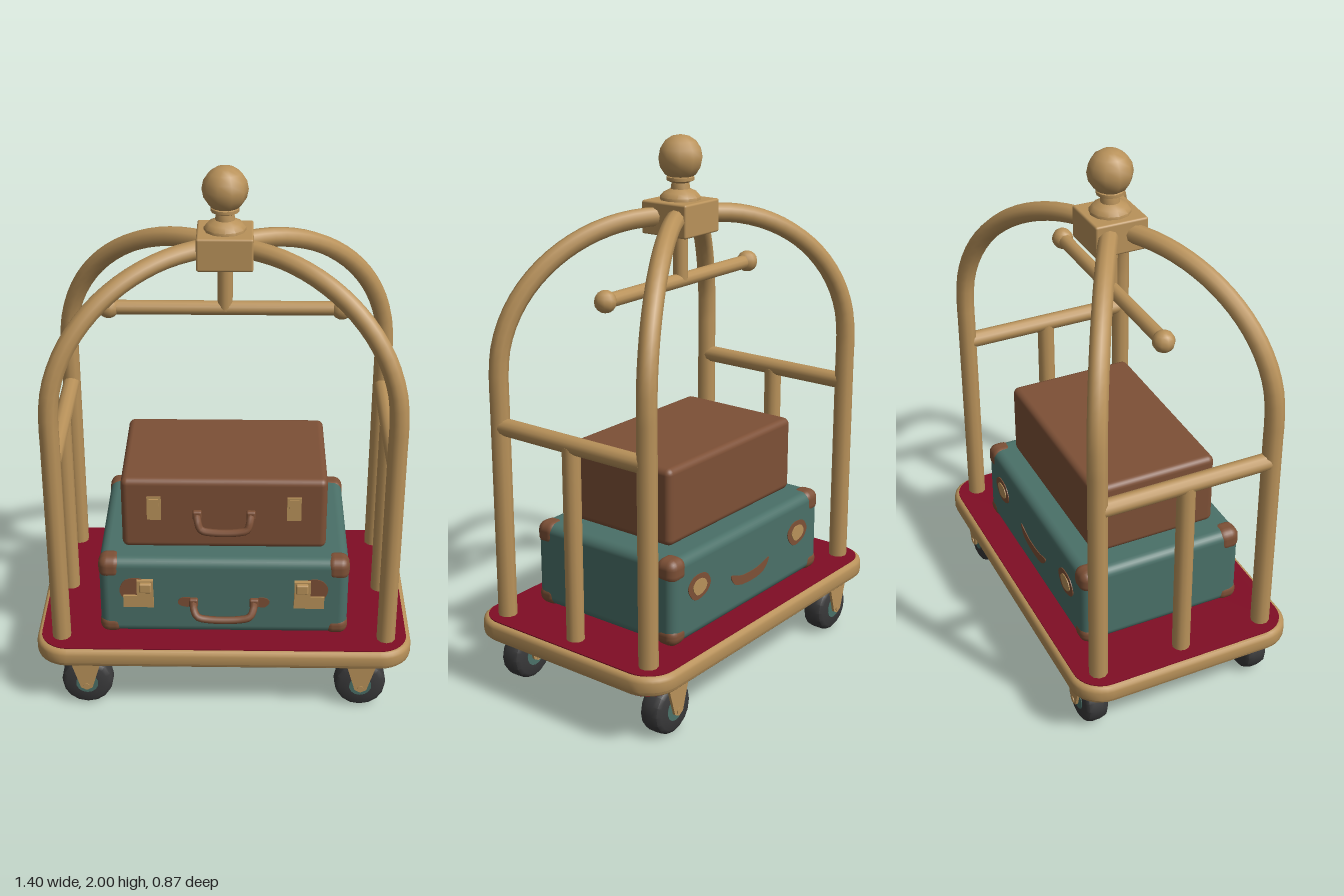
import * as THREE from 'three';
import { RoundedBoxGeometry } from 'three/addons/geometries/RoundedBoxGeometry.js';
import { toCreasedNormals } from 'three/addons/utils/BufferGeometryUtils.js';

const material = (name, color) => Object.assign(new THREE.MeshStandardMaterial({ color }), { name });
const brass = material('brass', 0xb9925a);
const carpet = material('crimson carpet', 0x800d25);
const teal = material('teal leather', 0x4a7068);
const brown = material('brown leather', 0x7d5036);
const rubber = material('dark rubber', 0x3a3a3b);

const signs = [-1, 1];
const V = (x, y, z) => new THREE.Vector3(x, y, z);

export function createModel() {
  const root = new THREE.Group();
  root.name = 'luggageCart';

  function group(name) {
    const g = new THREE.Group();
    g.name = name;
    root.add(g);
    return g;
  }
  function add(parent, name, geometry, mat, x = 0, y = 0, z = 0) {
    const m = new THREE.Mesh(geometry, mat);
    m.name = name;
    m.position.set(x, y, z);
    parent.add(m);
    return m;
  }
  const box = (w, h, d) => new THREE.BoxGeometry(w, h, d);
  // Straight round bar between two points
  function bar(parent, name, a, b, r, mat = brass) {
    const m = add(parent, name, new THREE.CylinderGeometry(r, r, a.distanceTo(b), 12), mat);
    m.position.addVectors(a, b).multiplyScalar(0.5);
    m.quaternion.setFromUnitVectors(V(0, 1, 0), b.clone().sub(a).normalize());
    return m;
  }
  function roundedRect(hw, hd, r) {
    const s = new THREE.Shape();
    s.absarc(hw - r, hd - r, r, 0, Math.PI / 2);
    s.absarc(-hw + r, hd - r, r, Math.PI / 2, Math.PI);
    s.absarc(-hw + r, -hd + r, r, Math.PI, Math.PI * 1.5);
    s.absarc(hw - r, -hd + r, r, Math.PI * 1.5, Math.PI * 2);
    return s;
  }
  // Horizontal slab whose underside, bevel included, sits at y
  function slab(parent, name, hw, hd, r, y, height, bevel, mat) {
    const g = new THREE.ExtrudeGeometry(roundedRect(hw - bevel, hd - bevel, r - bevel), {
      depth: height - 2 * bevel, curveSegments: 4, bevelEnabled: bevel > 0,
      bevelSize: bevel, bevelThickness: bevel, bevelSegments: 3,
    });
    g.rotateX(-Math.PI / 2);
    return add(parent, name, toCreasedNormals(g, 0.7), mat, 0, y + bevel, 0);
  }

  // Platform with carpet on top and a lining below
  const base = group('platform');
  slab(base, 'platformRim', 0.7, 0.435, 0.12, 0.212, 0.073, 0.02, brass);
  slab(base, 'carpetTop', 0.682, 0.417, 0.105, 0.283, 0.005, 0, carpet);
  slab(base, 'carpetUnderside', 0.682, 0.417, 0.105, 0.209, 0.005, 0, carpet);

  // Four casters
  const tyreProfile = [[0.03, -0.044], [0.078, -0.044], [0.092, -0.034], [0.097, -0.015],
    [0.097, 0.015], [0.092, 0.034], [0.078, 0.044], [0.03, 0.044]].map(p => new THREE.Vector2(...p));
  const tyre = toCreasedNormals(new THREE.LatheGeometry(tyreProfile, 16).rotateX(Math.PI / 2), 0.7);
  const forkShape = new THREE.Shape([[-0.058, 0.212], [-0.022, 0.09], [0, 0.078], [0.022, 0.09], [0.058, 0.212]]
    .map(p => new THREE.Vector2(...p)));
  const forkPlate = new THREE.ExtrudeGeometry(forkShape, { depth: 0.01, bevelEnabled: false }).translate(0, 0, -0.005);
  for (const sx of signs) for (const sz of signs) {
    const caster = group('caster');
    caster.position.set(sx * 0.515, 0, sz * 0.333);
    add(caster, 'tyre', tyre, rubber, 0, 0.097, 0);
    add(caster, 'hub', new THREE.CylinderGeometry(0.042, 0.042, 0.092, 14).rotateX(Math.PI / 2), teal, 0, 0.097, 0);
    add(caster, 'axle', new THREE.CylinderGeometry(0.012, 0.012, 0.13, 8).rotateX(Math.PI / 2), brass, 0, 0.097, 0);
    add(caster, 'forkTop', box(0.11, 0.014, 0.12), brass, 0, 0.205, 0);
    for (const s of signs) add(caster, 'forkPlate', forkPlate, brass, 0, 0, s * 0.057);
  }

  // Four posts curving diagonally into the crown
  const frame = group('frame');
  for (const sx of signs) for (const sz of signs) {
    const pts = [0.28, 0.6, 0.9, 1.1].map(y => V(sx * 0.605, y, sz * 0.333));
    for (let i = 0; i <= 8; i++) {
      const a = (i / 8) * Math.PI / 2;
      const t = (0.09 + 0.515 * Math.cos(a)) / 0.605;
      pts.push(V(sx * 0.605 * t, 1.2 + 0.517 * Math.sin(a), sz * 0.333 * t));
    }
    pts.push(V(sx * 0.04, 1.717, sz * 0.022));
    const path = new THREE.CatmullRomCurve3(pts);
    add(frame, 'archPost', new THREE.TubeGeometry(path, 40, 0.035, 10), brass);
  }

  // End rails with a central support
  for (const sx of signs) {
    bar(frame, 'endRail', V(sx * 0.605, 1.015, -0.32), V(sx * 0.605, 1.015, 0.32), 0.032);
    bar(frame, 'endSupport', V(sx * 0.605, 0.28, 0), V(sx * 0.605, 1.01, 0), 0.033);
  }

  // Crown block, finial and hanging bar
  const crown = group('crown');
  add(crown, 'crownBlock', new RoundedBoxGeometry(0.198, 0.12, 0.198, 2, 0.008), brass, 0, 1.712, 0);
  const finial = [[0, 1.765], [0.074, 1.765], [0.074, 1.782], [0.06, 1.798], [0.035, 1.81], [0.032, 1.832],
    [0.05, 1.84], [0.05, 1.852], [0.034, 1.86], [0, 1.862]].map(p => new THREE.Vector2(...p));
  add(crown, 'finialBase', toCreasedNormals(new THREE.LatheGeometry(finial, 12), 0.8), brass);
  add(crown, 'finialBall', new THREE.SphereGeometry(0.081, 10, 8), brass, 0, 1.919, 0);
  bar(crown, 'hangerStem', V(0, 1.475, 0), V(0, 1.66, 0), 0.027);
  bar(crown, 'hangerBar', V(-0.42, 1.478, 0), V(0.42, 1.478, 0), 0.026);
  for (const s of signs) add(crown, 'hangerKnob', new THREE.SphereGeometry(0.04, 10, 8), brass, s * 0.415, 1.478, 0);

  // Curved carrying handle with two mounts, on a face at depth z
  function handle(parent, halfWidth, top, bottom, z, reach) {
    const half = [[1, top, 0], [0.98, top - 0.012, 0.6], [0.86, bottom + 0.022, 0.95], [0.5, bottom + 0.012, 1]];
    const right = half.map(([x, y, d]) => V(x * halfWidth, y, z + d * reach));
    const left = right.map(p => V(-p.x, p.y, p.z)).reverse();
    const path = new THREE.CatmullRomCurve3([...right, ...left]);
    add(parent, 'handle', new THREE.TubeGeometry(path, 28, 0.014, 8), brown);
    for (const s of signs) add(parent, 'handleMount', new RoundedBoxGeometry(0.034, 0.036, 0.024, 2, 0.008), brown, s * halfWidth, top, z + 0.006);
  }
  // Thin painted patch on the front (+1) or back (-1)
  function patch(parent, name, points, z, side, mat) {
    const curve = new THREE.CatmullRomCurve3(points.map(p => V(p[0], p[1], 0)), true);
    const shape = new THREE.Shape(curve.getPoints(24).map(p => new THREE.Vector2(p.x, p.y)));
    const g = new THREE.ExtrudeGeometry(shape, { depth: 0.003, bevelEnabled: false });
    add(parent, name, g, mat, 0, 0, side > 0 ? z : z - 0.003);
  }
  const blob = (x, y, rx, ry) => [[x - rx, y], [x - rx * 0.6, y + ry * 0.9], [x + rx * 0.5, y + ry],
    [x + rx, y + ry * 0.2], [x + rx * 0.4, y - ry], [x - rx * 0.7, y - ry * 0.7]];

  // Large teal suitcase
  const large = group('largeSuitcase');
  add(large, 'largeBody', new RoundedBoxGeometry(0.92, 0.322, 0.64, 3, 0.035), teal, 0, 0.448, -0.005);
  for (const sx of signs) for (const sy of signs) for (const sz of signs) {
    const w = 0.09, h = sy > 0 ? 0.09 : 0.075, d = 0.09;
    add(large, 'cornerGuard', new RoundedBoxGeometry(w, h, d, 3, 0.034), brown,
      sx * (0.463 - w / 2), 0.448 + sy * (0.164 - h / 2), -0.005 + sz * (0.323 - d / 2));
  }
  handle(large, 0.112, 0.432, 0.378, 0.315, 0.055);
  for (const s of signs) {
    add(large, 'latchPlate', box(0.112, 0.05, 0.012), brass, s * 0.315, 0.436, 0.32);
    add(large, 'latchHasp', box(0.06, 0.1, 0.016), brass, s * 0.29, 0.48, 0.324);
    add(large, 'latchBuckle', new RoundedBoxGeometry(0.045, 0.04, 0.025, 2, 0.006), brass, s * 0.288, 0.505, 0.334);
    patch(large, 'wornPatch', blob(s * 0.33, 0.48, 0.055, 0.05), 0.315, 1, brown);
    patch(large, 'handleWear', blob(s * 0.14, 0.43, 0.03, 0.02), 0.315, 1, brown);
    patch(large, 'backScuff', blob(s * 0.31, 0.475, 0.065, 0.045), -0.325, -1, brown);
    patch(large, 'backHinge', blob(s * 0.31, 0.475, 0.04, 0.028), -0.328, -1, brass);
  }
  patch(large, 'backWear', [[-0.12, 0.44], [-0.05, 0.425], [0.05, 0.425], [0.12, 0.445], [0.09, 0.4], [-0.08, 0.395]], -0.325, -1, brown);

  // Small brown suitcase
  const small = group('smallSuitcase');
  add(small, 'smallBody', new RoundedBoxGeometry(0.75, 0.288, 0.488, 3, 0.024), brown, 0, 0.764, 0);
  handle(small, 0.098, 0.768, 0.702, 0.244, 0.04);
  for (const s of signs) {
    add(small, 'latchPlate', box(0.052, 0.096, 0.008), brass, s * 0.255, 0.793, 0.246);
    add(small, 'latchClasp', box(0.034, 0.045, 0.012), brass, s * 0.255, 0.81, 0.249);
  }

  return root;
}
